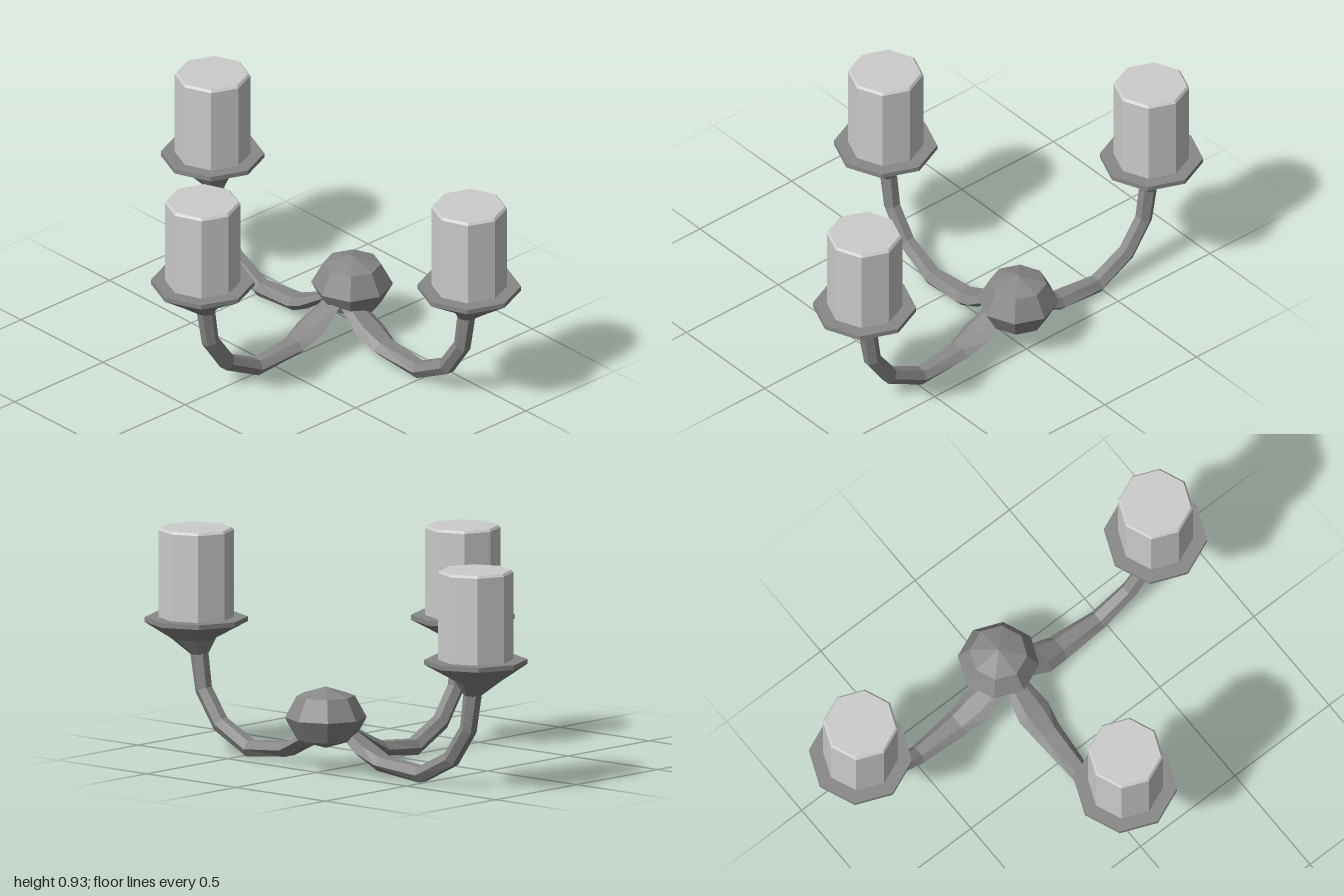
import * as THREE from 'three';

const metal = new THREE.MeshStandardMaterial({ color: 0x888888, flatShading: true });
const wax = new THREE.MeshStandardMaterial({ color: 0xcccccc, flatShading: true });

// Polygonal ring centred at (0, y, z), perpendicular to the direction t, half-width w and half-height h
function ring(z, y, t, w, h, sides) {
  const n = new THREE.Vector3().crossVectors(t, new THREE.Vector3(1, 0, 0));
  return Array.from({ length: sides }, (_, i) => {
    const a = (i / sides) * Math.PI * 2;
    return new THREE.Vector3(w * Math.cos(a), y, z).addScaledVector(n, h * Math.sin(a));
  });
}

// Closed skin over successive rings, capped at both ends
function loft(rings) {
  const pos = [];
  const tri = (...pts) => pts.forEach((p) => pos.push(p.x, p.y, p.z));
  const count = rings[0].length;
  const last = rings.length - 1;
  const middle = (r) => r.reduce((s, p) => s.add(p), new THREE.Vector3()).divideScalar(count);
  const c0 = middle(rings[0]);
  const c1 = middle(rings[last]);
  for (let i = 0; i < count; i++) {
    const j = (i + 1) % count;
    for (let k = 0; k < last; k++) {
      const a = rings[k], b = rings[k + 1];
      tri(a[i], a[j], b[j]);
      tri(a[i], b[j], b[i]);
    }
    tri(c0, rings[0][j], rings[0][i]);
    tri(c1, rings[last][i], rings[last][j]);
  }
  const g = new THREE.BufferGeometry();
  g.setAttribute('position', new THREE.Float32BufferAttribute(pos, 3));
  g.computeVertexNormals();
  return g;
}

function add(parent, name, geometry, material) {
  const mesh = new THREE.Mesh(geometry, material);
  mesh.name = name;
  parent.add(mesh);
  return mesh;
}

// Curved arm, flattened and broad near the hub: [distance out, height, half-width, half-height]
function armGeometry() {
  const path = [
    [0.05, 0.178, 0.05, 0.016],
    [0.17, 0.103, 0.075, 0.028],
    [0.265, 0.058, 0.06, 0.034],
    [0.48, 0.037, 0.043, 0.038],
    [0.645, 0.12, 0.037, 0.038],
    [0.74, 0.255, 0.036, 0.037],
    [0.765, 0.41, 0.036, 0.04],
  ];
  return loft(path.map(([z, y, w, h], i) => {
    const p = path[Math.max(i - 1, 0)];
    const q = path[Math.min(i + 1, path.length - 1)];
    const t = new THREE.Vector3(0, q[1] - p[1], q[0] - p[0]).normalize();
    return ring(z, y, t, w, h, 6);
  }));
}

// Drip pan, its neck leaning slightly to meet the arm: [distance out, height, radius]
function panGeometry() {
  const up = new THREE.Vector3(0, 1, 0);
  return loft([
    [0.765, 0.402, 0.038],
    [0.797, 0.465, 0.095],
    [0.782, 0.535, 0.215],
    [0.782, 0.555, 0.215],
  ].map(([z, y, r]) => ring(z, y, up, r, r, 8)));
}

// Eight-sided candle with a narrow bevel round its top
function candleGeometry() {
  const profile = [[0, 0.55], [0.157, 0.55], [0.157, 0.92], [0.148, 0.93], [0, 0.93]];
  return new THREE.LatheGeometry(profile.map(([x, y]) => new THREE.Vector2(x, y)), 8);
}

export function createModel() {
  const model = new THREE.Group();
  model.name = 'candelabraSconce';

  // Faceted wall hub
  const hub = add(model, 'hub', new THREE.SphereGeometry(0.17, 8, 4), metal);
  hub.scale.y = 0.76;
  hub.position.set(0, 0.23, -0.445);

  // Three equal branches: front, left and right
  const arm = armGeometry();
  const pan = panGeometry();
  const candle = candleGeometry();
  [['front', 0], ['left', Math.PI / 2], ['right', -Math.PI / 2]].forEach(([side, angle]) => {
    const branch = new THREE.Group();
    branch.name = side + 'Branch';
    branch.position.z = -0.382;
    branch.rotation.y = angle;
    add(branch, side + 'Arm', arm, metal);
    add(branch, side + 'DripPan', pan, metal);
    add(branch, side + 'Candle', candle, wax).position.z = 0.782;
    model.add(branch);
  });

  return model;
}
